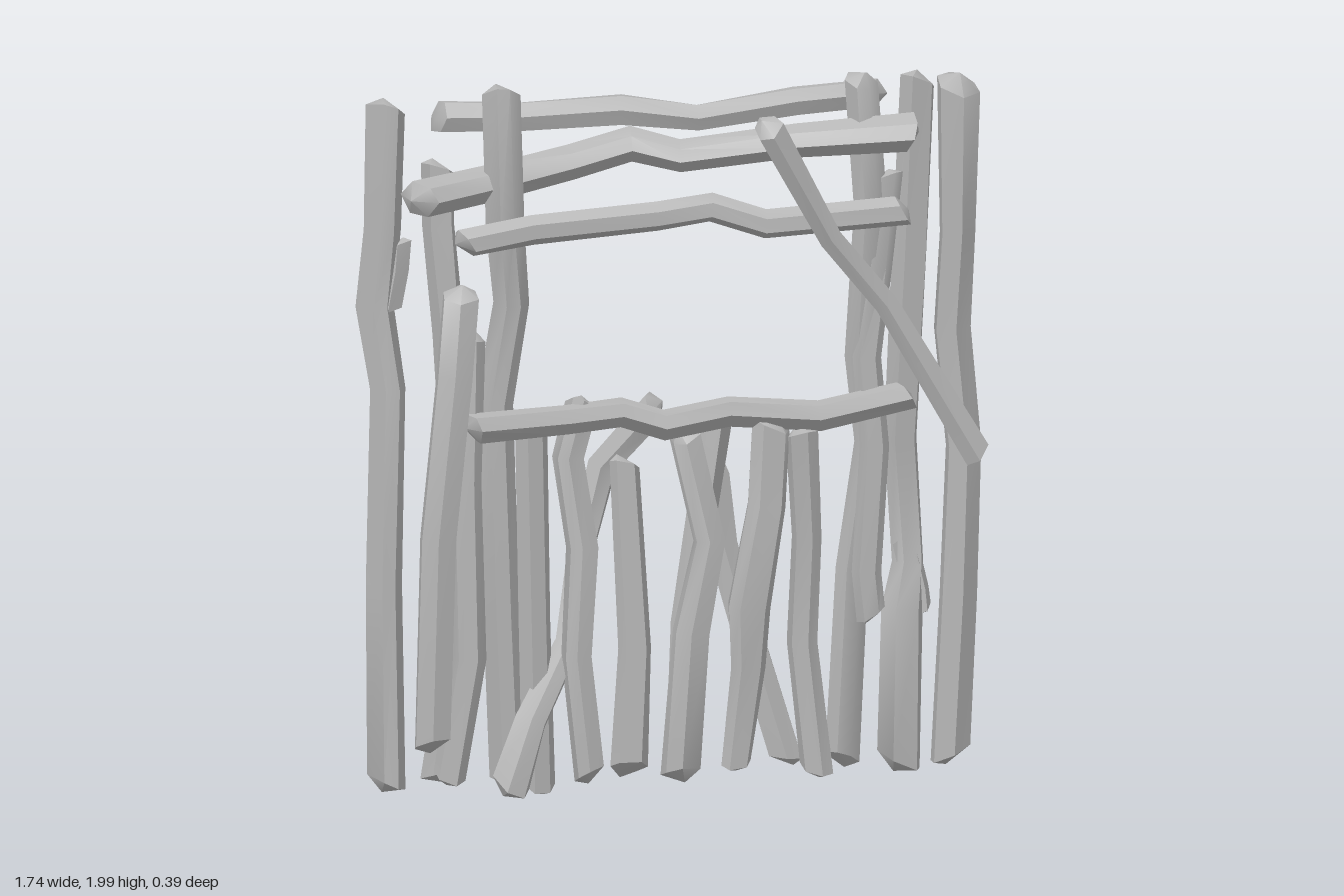
import * as THREE from 'three';
import { toCreasedNormals } from 'three/addons/utils/BufferGeometryUtils.js';

const wood = new THREE.MeshStandardMaterial({ color: 0xb6b6b6 });
wood.name = 'greyWood';

// small repeatable noise, -1 to 1
let seed = 7;
const rnd = () => ((seed = (seed * 16807) % 2147483647) / 2147483647) * 2 - 1;

// A crooked branch: uneven six-sided cross-sections along a list of [x, y, z], with slanted, chipped ends.
function branch(name, r, pts, rScale = []) {
  const sides = 6, p = pts.map(a => new THREE.Vector3(...a));
  const n = p.length, pos = [], idx = [];
  const spin = rnd() * 0.5;
  const shape = Array.from({ length: sides }, (_, k) => [
    spin + (k + rnd() * 0.2) / sides * Math.PI * 2, 1.04 + rnd() * 0.13]);

  // rings; the two end rings are pulled in and tilted
  p.forEach((c, i) => {
    const t = p[Math.min(i + 1, n - 1)].clone().sub(p[Math.max(i - 1, 0)]).normalize();
    const u = new THREE.Vector3(0, 0, 1).addScaledVector(t, -t.z).normalize();
    const v = new THREE.Vector3().crossVectors(t, u);
    const s = r * (rScale[i] ?? 1);
    const end = i === 0 ? 1 : i === n - 1 ? -1 : 0;
    const tilt = rnd() * Math.PI;
    for (const [a, q] of shape) {
      const d = s * q * (1 + rnd() * 0.06);
      const w = c.clone().addScaledVector(u, Math.cos(a) * d).addScaledVector(v, Math.sin(a) * d)
        .addScaledVector(t, end * s * (0.6 + 0.5 * Math.cos(a - tilt)));
      pos.push(w.x, w.y, w.z);
    }
  });
  for (let j = 0; j < n - 1; j++) for (let k = 0; k < sides; k++) {
    const a = j * sides + k, b = j * sides + (k + 1) % sides;
    idx.push(a, b, b + sides, a, b + sides, a + sides);
  }

  // end points
  const first = n * sides, top = (n - 1) * sides;
  for (const c of [p[0], p[n - 1]]) pos.push(c.x + rnd() * r * 0.4, c.y, c.z + rnd() * r * 0.4);
  for (let k = 0; k < sides; k++) {
    const m = (k + 1) % sides;
    idx.push(first, m, k, first + 1, top + k, top + m);
  }
  const g = new THREE.BufferGeometry();
  g.setAttribute('position', new THREE.Float32BufferAttribute(pos, 3));
  g.setIndex(idx);
  const mesh = new THREE.Mesh(toCreasedNormals(g, 0.7), wood);
  mesh.name = name;
  return mesh;
}

export function createModel() {
  const group = new THREE.Group();
  group.name = 'branchFence';
  const add = (...a) => group.add(branch(...a));

  // tall posts, right to left
  add('outerRightPost', 0.053, [[-0.785, 0.01, -0.04], [-0.79, 0.6, -0.045], [-0.78, 1.15, -0.045], [-0.81, 1.38, -0.075], [-0.795, 1.6, -0.05], [-0.785, 1.97, -0.045]], [0.95, 0.9, 0.9, 0.95, 0.95, 1]);
  add('outerRightKnot', 0.04, [[-0.78, 1.36, -0.07], [-0.757, 1.48, -0.075], [-0.75, 1.57, -0.075]]);
  add('secondRightPost', 0.05, [[-0.64, 0.03, -0.04], [-0.6, 0.34, -0.05], [-0.59, 0.85, -0.05], [-0.615, 1.3, -0.04], [-0.64, 1.6, -0.06], [-0.645, 1.79, -0.06]], [1.05, 0.95, 0.85, 0.9, 0.95, 0.9]);
  add('innerRightPost', 0.045, [[-0.45, 0.03, -0.02], [-0.47, 0.5, -0.02], [-0.49, 1.1, -0.01], [-0.44, 1.38, -0.03], [-0.465, 1.6, 0.02], [-0.47, 2.0, -0.02]]);
  add('innerLeftPost', 0.046, [[0.47, 0.04, 0.01], [0.5, 0.6, 0], [0.555, 0.95, -0.02], [0.53, 1.2, 0], [0.55, 1.62, 0.01], [0.525, 2.0, 0]], [1, 0.95, 0.9, 0.95, 0.9, 0.9]);
  add('innerLeftFrontBranch', 0.036, [[0.545, 0.46, 0.06], [0.53, 0.6, 0.055], [0.555, 0.95, 0.04], [0.535, 1.2, 0.03], [0.57, 1.45, 0.01], [0.6, 1.72, -0.01]]);
  add('secondLeftPost', 0.053, [[0.63, 0.02, 0.01], [0.64, 0.48, 0], [0.665, 0.6, -0.05], [0.64, 0.95, -0.04], [0.67, 1.45, -0.05], [0.695, 1.98, -0.06]], [1.05, 1, 0.75, 0.8, 0.85, 0.85]);
  add('secondLeftKnot', 0.035, [[0.69, 0.45, -0.03], [0.685, 0.52, -0.04], [0.65, 0.68, -0.05]]);
  add('outerLeftPost', 0.054, [[0.775, 0.02, -0.05], [0.8, 0.5, -0.05], [0.815, 0.92, -0.055], [0.785, 1.25, -0.065], [0.8, 1.52, -0.055], [0.8, 1.97, -0.055]], [0.95, 0.9, 0.85, 0.9, 0.9, 1.05]);

  // short pickets
  add('rightFrontPicket', 0.048, [[-0.68, 0.14, 0.07], [-0.665, 0.75, 0.08], [-0.615, 1.2, 0.06], [-0.59, 1.45, 0.02]]);
  add('rightPicket', 0.04, [[-0.63, 0.05, 0.06], [-0.57, 0.4, 0.05], [-0.58, 0.9, 0.05], [-0.565, 1.33, 0.01]]);
  add('picketA', 0.042, [[-0.38, 0.01, 0.04], [-0.39, 0.5, 0.04], [-0.4, 1.09, 0.03]]);
  add('picketB', 0.045, [[-0.24, 0.04, 0.07], [-0.28, 0.4, 0.07], [-0.26, 0.7, 0.04], [-0.295, 0.95, 0.02], [-0.25, 1.12, 0.01]]);
  add('picketC', 0.055, [[-0.12, 0.03, 0], [-0.1, 0.4, 0], [-0.13, 0.94, -0.01]], [1, 0.85, 0.75]);
  add('picketD', 0.05, [[0.02, 0.02, 0.03], [0.045, 0.45, 0.05], [0.1, 0.7, 0.03], [0.03, 1.02, 0]], [1, 0.95, 0.85, 0.85]);
  add('picketE', 0.048, [[0.03, 0.06, -0.03], [0.05, 0.45, -0.06], [0.09, 0.75, -0.05], [0.135, 1.07, -0.07]], [0.9, 0.9, 0.9, 1]);
  add('picketF', 0.046, [[0.16, 0.06, 0.07], [0.195, 0.35, 0.07], [0.195, 0.52, 0.08], [0.25, 0.8, 0.06], [0.265, 1.06, 0.05]], [0.85, 0.95, 1.2, 1.1, 1.05]);
  add('picketG', 0.042, [[0.4, 0.02, 0.03], [0.36, 0.4, 0.01], [0.37, 0.7, 0.03], [0.35, 1.02, 0.06]]);
  add('backLeaningPicket', 0.05, [[0.33, 0.04, -0.05], [0.23, 0.38, -0.08], [0.16, 0.65, -0.12], [0.12, 0.84, -0.135], [0.08, 0.97, -0.12]], [0.9, 0.9, 0.9, 1.2, 1.05]);
  add('leaningBranch', 0.052, [[-0.48, 0.03, 0.12], [-0.41, 0.23, 0.1], [-0.29, 0.42, 0], [-0.24, 0.64, -0.1], [-0.17, 0.88, -0.15], [-0.02, 1.07, -0.08]], [1.1, 0.9, 0.75, 0.75, 0.85, 0.9]);

  // cross rails
  add('topRail', 0.044, [[-0.65, 1.88, -0.145], [-0.4, 1.88, -0.115], [-0.13, 1.9, -0.065], [0.08, 1.87, -0.055], [0.35, 1.91, -0.04], [0.6, 1.92, -0.06]], [1, 0.95, 0.95, 0.85, 0.9, 0.9]);
  add('secondRail', 0.05, [[-0.74, 1.71, 0.09], [-0.5, 1.72, -0.03], [-0.27, 1.76, -0.07], [-0.1, 1.8, -0.08], [0.03, 1.77, -0.04], [0.35, 1.81, 0], [0.68, 1.84, 0.08]], [1, 1, 0.95, 0.9, 0.85, 0.9, 1]);
  add('thirdRail', 0.039, [[-0.61, 1.58, 0.08], [-0.4, 1.61, 0.06], [-0.05, 1.63, 0.05], [0.1, 1.65, 0.05], [0.25, 1.6, 0.06], [0.65, 1.63, 0.09]]);
  add('lowerRail', 0.039, [[-0.59, 1.06, 0.08], [-0.3, 1.07, 0.06], [-0.15, 1.08, 0.05], [-0.03, 1.04, 0.05], [0.15, 1.07, 0.05], [0.4, 1.05, 0.06], [0.66, 1.11, 0.09]]);

  // slanted brace across the left corner
  add('slantedBrace', 0.041, [[0.23, 1.91, 0.15], [0.42, 1.56, 0.1], [0.58, 1.36, 0.07], [0.84, 0.91, 0.075]], [0.95, 0.8, 0.8, 1]);
  return group;
}
